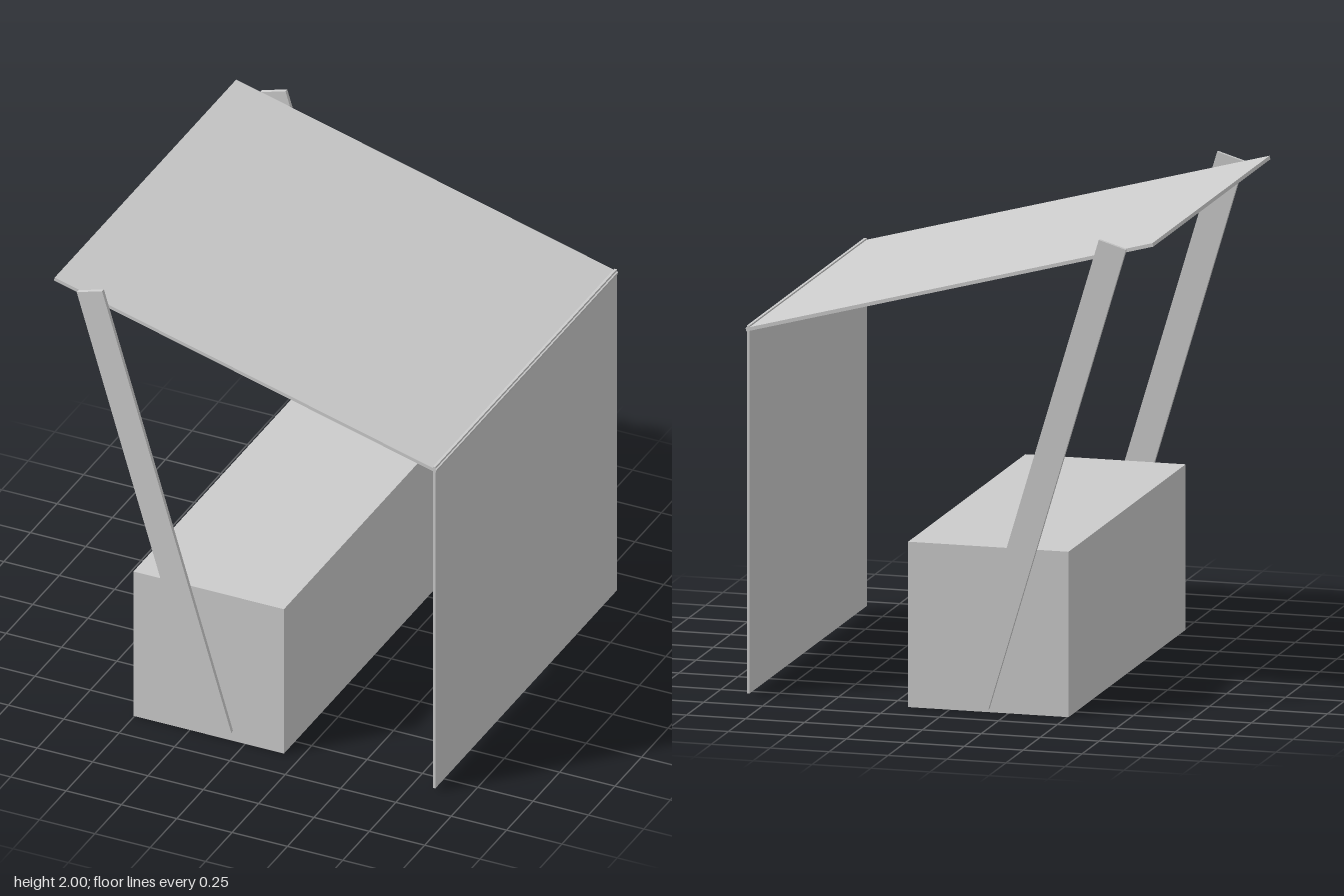
import * as THREE from 'three';

const material = new THREE.MeshStandardMaterial({ color: 0xcccccc });

// Box centred at (x, y, z), leaning by an angle about z
function slab(name, size, position, lean = 0) {
  const mesh = new THREE.Mesh(new THREE.BoxGeometry(...size), material);
  mesh.name = name;
  mesh.position.set(...position);
  mesh.rotation.z = lean;
  return mesh;
}

export function createModel() {
  const group = new THREE.Group();
  group.name = 'shelter';
  const depth = 1.71;

  // Solid base block
  group.add(slab('baseBlock', [0.68, 0.69, depth], [-0.165, 0.345, 0]));

  // Sloping roof and the hanging panel at its low edge
  group.add(slab('roof', [1.786, 0.015, depth], [0, 1.762, 0], -0.261));
  group.add(slab('hangingPanel', [0.011, 1.535, depth], [0.853, 0.7825, 0]));

  // Leaning flat posts fixed to the outside of the block and roof
  for (const side of [1, -1]) {
    group.add(slab(side > 0 ? 'frontPost' : 'backPost', [0.12, 2.04, 0.017],
      [-0.404, 1.008, side * (depth / 2 + 0.0085)], 0.29));
  }
  return group;
}
